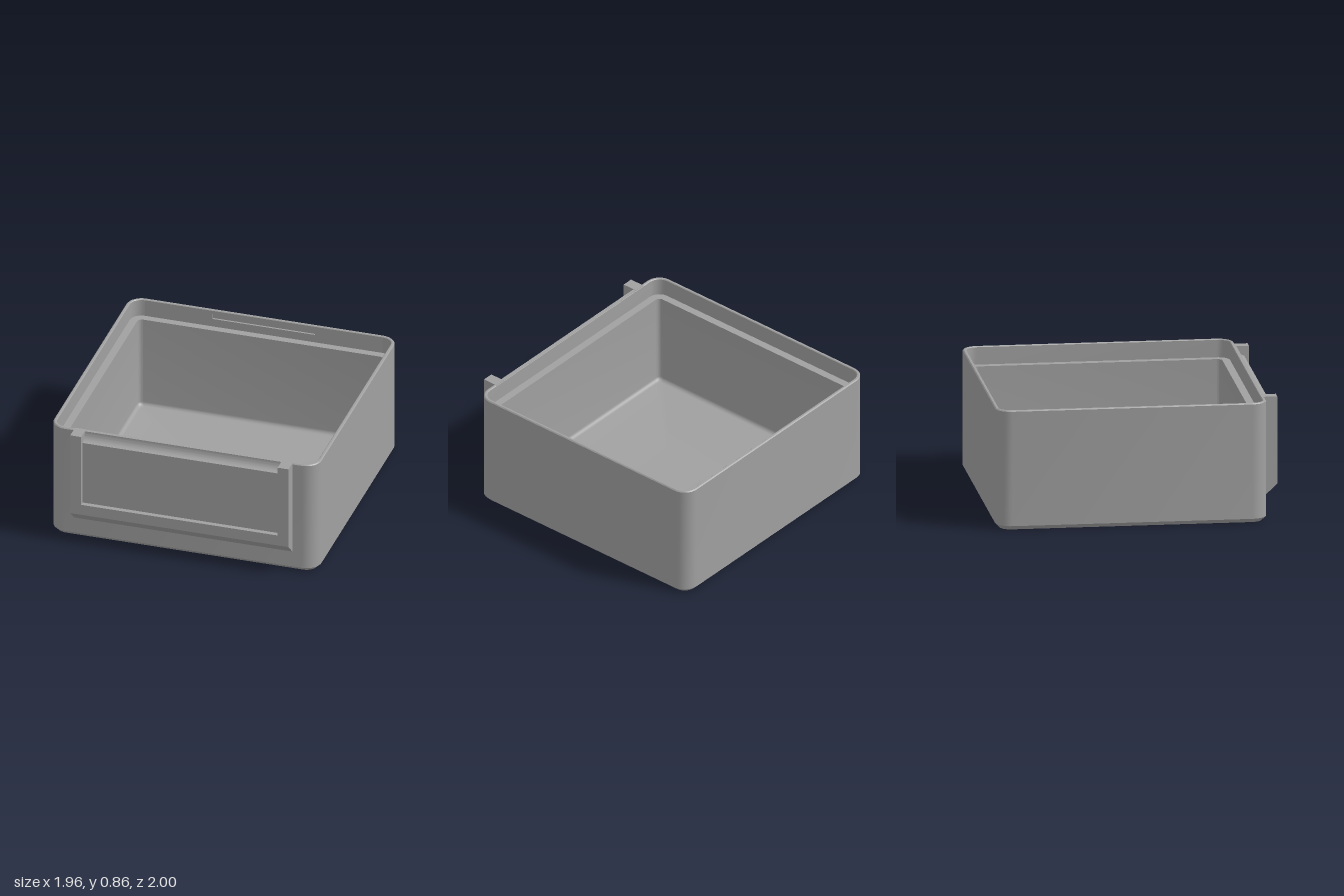
import * as THREE from 'three';
import { toCreasedNormals } from 'three/addons/utils/BufferGeometryUtils.js';

const HALF_W = 0.98, HALF_D = 0.955, MID_Z = -0.045, CORNER = 0.11, STEPS = 8;

// Rounded-rectangle outline, inset from the outer wall, at height y
function ring(inset, y) {
  const r = Math.max(CORNER - inset, 0.035);
  const cx = HALF_W - inset - r, cz = HALF_D - inset - r;
  const points = [];
  [[1, 1], [-1, 1], [-1, -1], [1, -1]].forEach(([sx, sz], corner) => {
    for (let i = 0; i <= STEPS; i++) {
      const t = (corner + i / STEPS) * Math.PI / 2;
      points.push([sx * cx + r * Math.cos(t), y, MID_Z + sz * cz + r * Math.sin(t)]);
    }
  });
  return points;
}

// Skin the profile [inset, y] into a closed tray; skip(k, i) leaves a quad open
function loft(profile, skip) {
  const rings = profile.map(([d, y]) => ring(d, y));
  const n = rings[0].length, last = rings.length - 1, out = [];
  const tri = (...p) => p.forEach(v => out.push(...v));
  for (let i = 0; i < n; i++) {
    const j = (i + 1) % n;
    for (let k = 0; k < last; k++) {
      if (skip(k, i)) continue;
      const a = rings[k][i], b = rings[k][j], c = rings[k + 1][i], d = rings[k + 1][j];
      tri(a, c, b);
      tri(b, c, d);
    }
    tri([0, profile[0][1], MID_Z], rings[0][i], rings[0][j]);
    tri([0, profile[last][1], MID_Z], rings[last][j], rings[last][i]);
  }
  const geometry = new THREE.BufferGeometry();
  geometry.setAttribute('position', new THREE.Float32BufferAttribute(out, 3));
  return toCreasedNormals(geometry, 0.5);
}

// Extrude a side profile drawn in (z, y) along x, centred on x
function extrudeAlongX(shape, width, x) {
  const geometry = new THREE.ExtrudeGeometry(shape, { depth: width, bevelEnabled: false, curveSegments: 10 });
  geometry.translate(0, 0, -width / 2).rotateY(-Math.PI / 2).translate(x, 0, 0);
  return toCreasedNormals(geometry, 0.5);
}

function rectangle(PathType, x, y0, y1) {
  return new PathType([[-x, y0], [x, y0], [x, y1], [-x, y1]].map(p => new THREE.Vector2(...p)));
}

export function createModel() {
  const model = new THREE.Group();
  model.name = 'storageBin';
  const grey = new THREE.MeshStandardMaterial({ color: 0xa0a0a0 });
  grey.name = 'grey';
  const add = (name, geometry) => {
    const mesh = new THREE.Mesh(geometry, grey);
    mesh.name = name;
    model.add(mesh);
  };

  // Tray: chamfered foot, wall, rim, lip, ledge, inner wall, floor fillet
  const profile = [[0.03, 0], [0, 0.03], [0, 0.853], [0.007, 0.86], [0.02, 0.86],
    [0.025, 0.855], [0.025, 0.73], [0.08, 0.73]];
  for (let i = 0; i <= 6; i++) {
    const t = i / 6 * Math.PI / 2;
    profile.push([0.11 - 0.03 * Math.cos(t), 0.07 - 0.03 * Math.sin(t)]);
  }
  const backSide = 3 * (STEPS + 1) - 1;
  add('tray', loft(profile, (k, i) => k === 5 && i === backSide));

  // Back of the lip, with a shallow finger slot
  const lipZ = MID_Z - HALF_D + 0.025, slotDepth = 0.014;
  const lip = rectangle(THREE.Shape, HALF_W - CORNER, 0.73, 0.855);
  lip.holes.push(rectangle(THREE.Path, 0.375, 0.79, 0.83));
  add('backLip', new THREE.ExtrudeGeometry(lip, { depth: slotDepth, bevelEnabled: false })
    .translate(0, 0, lipZ - slotDepth));
  add('slotBack', new THREE.PlaneGeometry(0.76, 0.05).translate(0, 0.81, lipZ - slotDepth));

  // Label holder posts
  const post = new THREE.Shape();
  post.moveTo(0.887, 0.15);
  post.lineTo(0.91, 0.15);
  post.lineTo(1, 0.235);
  post.lineTo(1, 0.862);
  post.lineTo(0.887, 0.862);
  for (const side of [-1, 1]) {
    add(side > 0 ? 'leftHolderPost' : 'rightHolderPost', extrudeAlongX(post, 0.08, side * 0.76));
  }

  // Holder sill and recessed label panel with a concave top
  const panel = new THREE.Shape();
  panel.moveTo(0.887, 0.15);
  panel.lineTo(0.91, 0.15);
  panel.lineTo(1, 0.235);
  panel.lineTo(1, 0.315);
  panel.lineTo(0.965, 0.315);
  panel.lineTo(0.965, 0.795);
  panel.absellipse(0.965, 0.86, 0.053, 0.065, -Math.PI / 2, -Math.PI, true);
  panel.lineTo(0.887, 0.86);
  add('labelPanel', extrudeAlongX(panel, 1.44, 0));

  return model;
}
